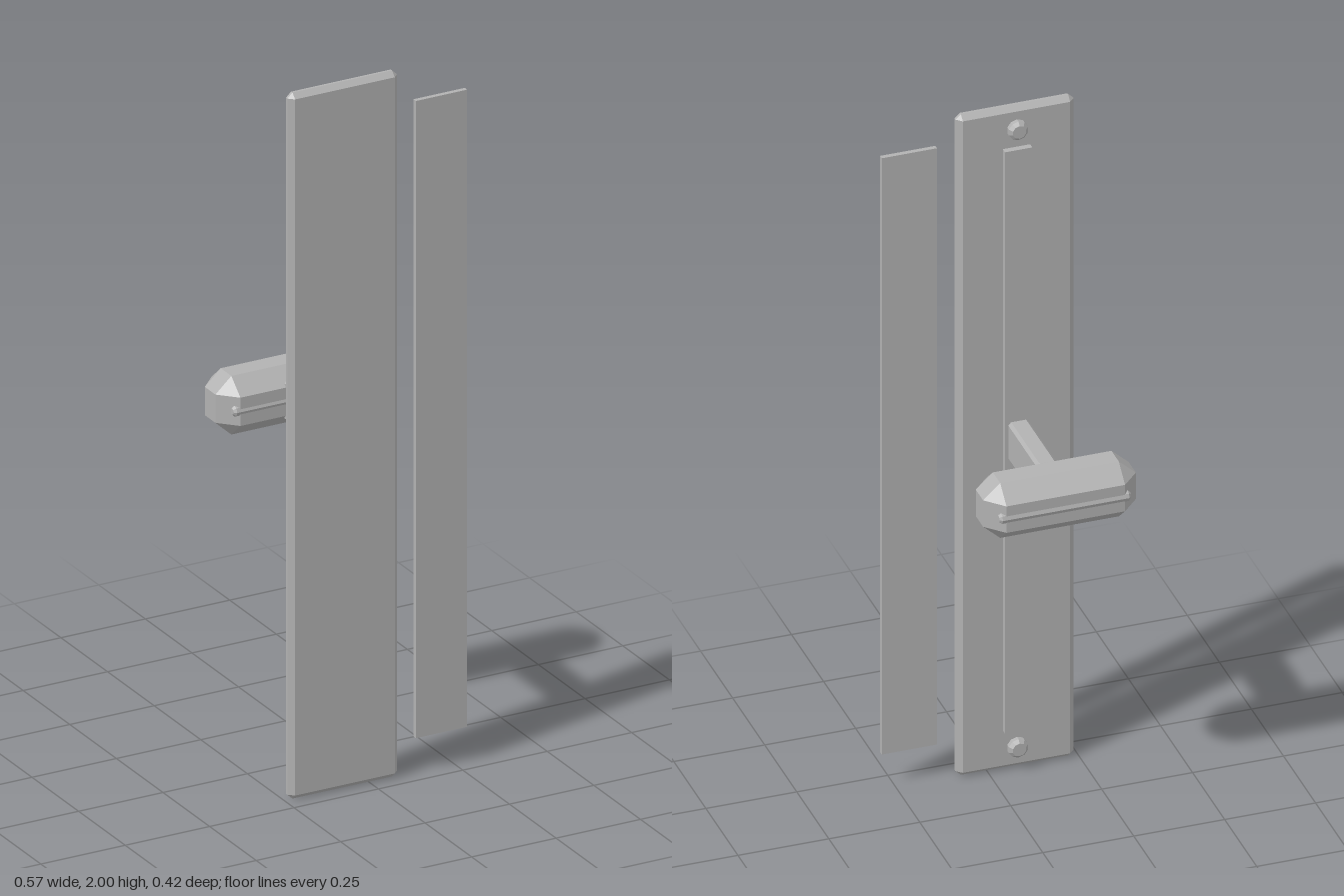
import * as THREE from 'three';
import { ConvexGeometry } from 'three/addons/geometries/ConvexGeometry.js';

const grey = new THREE.MeshStandardMaterial({ color: 0xb2b2b2, flatShading: true });
grey.name = 'plain grey';

// Box of the given half sizes with every edge and corner cut off
function chamferBox(hx, hy, hz, cx, cy = cx, cz = cx) {
  const points = [];
  for (const x of [-1, 1]) for (const y of [-1, 1]) for (const z of [-1, 1]) {
    points.push(
      new THREE.Vector3(x * hx, y * (hy - cy), z * (hz - cz)),
      new THREE.Vector3(x * (hx - cx), y * hy, z * (hz - cz)),
      new THREE.Vector3(x * (hx - cx), y * (hy - cy), z * hz));
  }
  return new ConvexGeometry(points);
}

// Short or long cylinder along y with a chamfered rim at both ends
function chamferCylinder(radius, length, chamfer, sides) {
  const h = length / 2;
  const profile = [[0, -h], [radius - chamfer, -h], [radius, chamfer - h],
    [radius, h - chamfer], [radius - chamfer, h], [0, h]];
  return new THREE.LatheGeometry(profile.map(([x, y]) => new THREE.Vector2(x, y)), sides);
}

export function createModel() {
  const model = new THREE.Group();
  const cx = -0.0775; // centre line of the main plate
  const add = (name, geometry, x, y, z) => {
    const mesh = new THREE.Mesh(geometry, grey);
    mesh.name = name;
    mesh.position.set(x, y, z);
    model.add(mesh);
    return mesh;
  };

  // Plates
  add('mainPlate', chamferBox(0.1625, 1, 0.018, 0.015, 0.014, 0.0145), cx, 1, 0.193);
  add('sideStrip', new THREE.BoxGeometry(0.152, 1.805, 0.013), 0.209, 1.0025, 0.2035);
  add('backRail', new THREE.BoxGeometry(0.075, 1.76, 0.02), cx, 1, 0.168);

  // Screws at both ends of the rail
  for (const [name, y] of [['upperScrew', 1.937], ['lowerScrew', 0.068]]) {
    add(name, chamferCylinder(0.028, 0.03, 0.009, 10), cx, y, 0.165).rotation.x = Math.PI / 2;
  }

  // Handle
  add('handleStem', chamferBox(0.0285, 0.0575, 0.123, 0.008), cx, 1.002, 0.053);
  add('handleGrip', chamferBox(0.21, 0.083, 0.0775, 0.047, 0.043, 0.049), cx, 1.002, -0.132);

  // Thin rods set into the front and back of the grip
  for (const [name, z] of [['frontRod', -0.067], ['backRod', -0.198]]) {
    add(name, chamferCylinder(0.0155, 0.362, 0.007, 8), cx, 1.002, z).rotation.z = Math.PI / 2;
  }
  return model;
}
